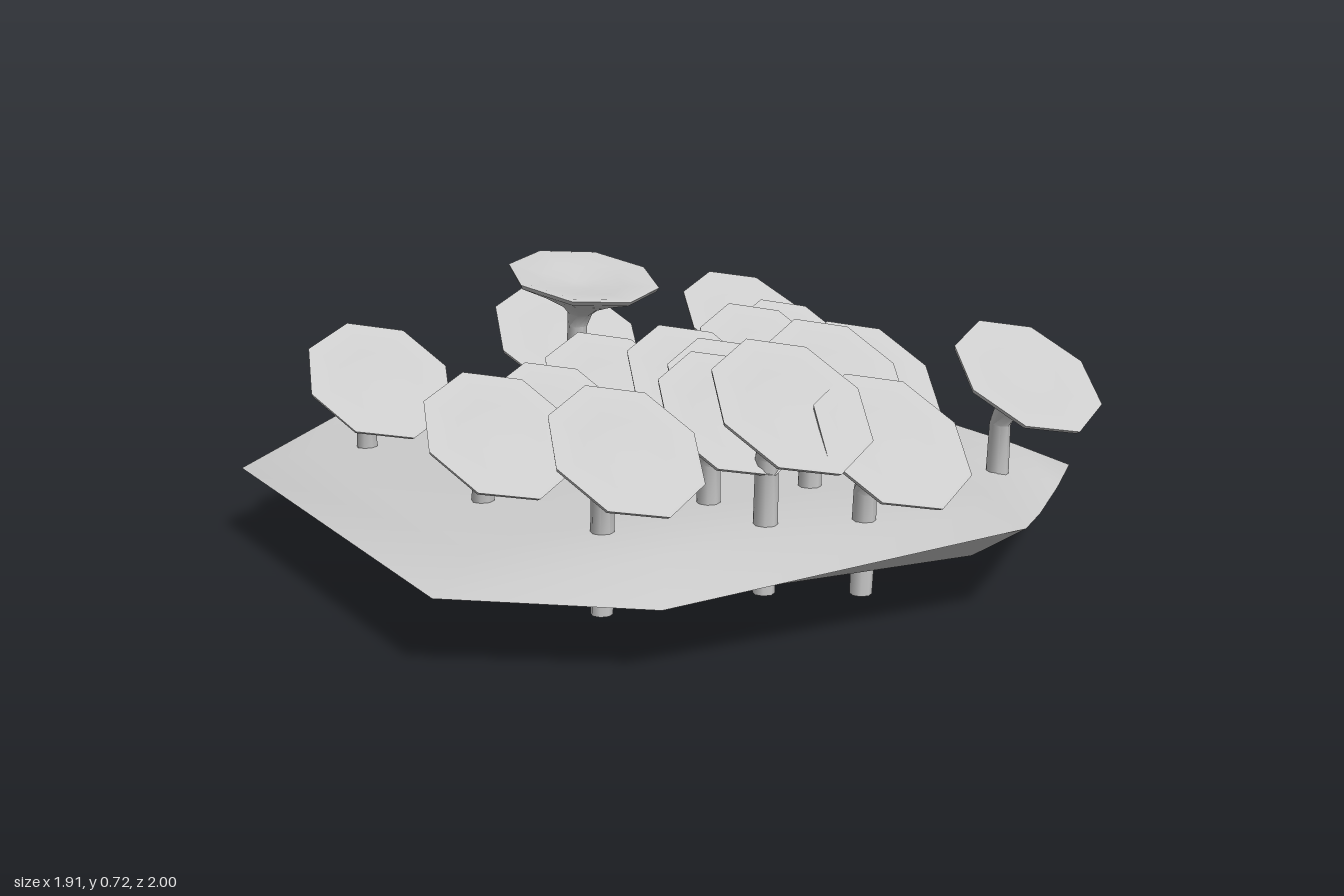
import * as THREE from 'three';
import { toCreasedNormals } from 'three/addons/utils/BufferGeometryUtils.js';

const material = new THREE.MeshStandardMaterial({ color: 0xcccccc, side: THREE.DoubleSide });

// Skin a list of equal-length rings, ordered from the underside up and over the top
function loft(rings, crease) {
  const n = rings[0].length;
  const pos = rings.flat().flatMap((p) => [p.x, p.y, p.z]);
  const index = [];
  for (let i = 0; i < rings.length - 1; i++) {
    for (let j = 0; j < n; j++) {
      const k = (j + 1) % n;
      const a = i * n + j, b = i * n + k, c = a + n, d = b + n;
      index.push(a, b, d, a, d, c);
    }
  }
  const geo = new THREE.BufferGeometry();
  geo.setAttribute('position', new THREE.Float32BufferAttribute(pos, 3));
  geo.setIndex(index);
  geo.computeVertexNormals();
  return toCreasedNormals(geo, crease);
}

// Slab: irregular rim [x, y, z], bevelled towards a flat top and underside
function createSlab() {
  const rim = [
    [-0.33, 0.18, -1.0], [-0.83, 0.21, -0.6], [-0.96, 0.25, 0.51], [-0.73, 0.19, 0.93],
    [0.47, 0.175, 1.0], [0.78, 0.16, 0.62], [0.95, 0.225, -0.28], [0.82, 0.2, -0.46],
    [0.6, 0.17, -0.75], [0.46, 0.17, -0.94],
  ];
  const ring = (scale, y) => rim.map(([x, ry, z]) =>
    new THREE.Vector3(x * scale, y ?? ry, z * scale));
  const rings = [ring(0, 0.105), ring(0.5, 0.11), ring(0.86, 0.133), ring(1),
    ring(0.85, 0.235), ring(0.5, 0.242), ring(0, 0.243)];
  const mesh = new THREE.Mesh(loft(rings, 0.9), material);
  mesh.name = 'slab';
  return mesh;
}

// Funnel cap on a bent stem; (x, y, z) is the middle of the cap rim
function createFungus({ x, y, z, r = 0.2, tilt = 40, foot = 0.06, lean = 0.1 }) {
  const t = THREE.MathUtils.degToRad(tilt);
  const center = new THREE.Vector3(x, y, z);
  const ring = (middle, radius, angle) => Array.from({ length: 8 }, (_, j) => {
    const a = (j / 8) * Math.PI * 2 + 0.08;
    return new THREE.Vector3(Math.cos(a) * radius, 0, -Math.sin(a) * radius)
      .applyAxisAngle(new THREE.Vector3(0, 0, 1), -angle).add(middle);
  });
  const onAxis = (d, radius) =>
    ring(new THREE.Vector3(Math.sin(t) * d, Math.cos(t) * d, 0).add(center), radius, t);
  const base = new THREE.Vector3(x - lean, foot, z);
  const bend = new THREE.Vector3(x - lean + 0.008, y - 0.14, z);
  const rings = [
    ring(base, 0, 0), ring(base, 0.026, 0),
    ring(base.clone().lerp(bend, 0.5), 0.029, 0), ring(bend, 0.027, t * 0.25),
    onAxis(-0.105, 0.034), onAxis(-0.08, 0.06), onAxis(-0.05, 0.115),
    onAxis(-0.012, r * 0.97), onAxis(0, r), onAxis(0.002, r * 0.93),
    onAxis(-0.012, r * 0.55), onAxis(-0.025, 0.03), onAxis(-0.027, 0),
  ];
  const mesh = new THREE.Mesh(loft(rings, 0.8), material);
  mesh.name = 'funnelFungus';
  return mesh;
}

export function createModel() {
  const group = new THREE.Group();
  group.name = 'fungusColony';
  group.add(createSlab());

  const fungi = [
    // back row
    { x: -0.47, y: 0.48, z: -0.545, tilt: 35, foot: 0.13 },
    { x: -0.25, y: 0.42, z: -0.555, r: 0.19, foot: 0.005 },
    { x: -0.08, y: 0.45, z: -0.32, foot: 0.08 },
    { x: 0.37, y: 0.47, z: -0.3, foot: 0.06 },
    { x: 0.66, y: 0.5, z: -0.565, tilt: 35, foot: 0.09 },
    // right cluster
    { x: 0.515, y: 0.53, z: -0.07, r: 0.19, foot: 0.1 },
    { x: 0.8, y: 0.445, z: 0, r: 0.2, foot: 0.055 },
    { x: 0.49, y: 0.48, z: 0.22, r: 0.19, foot: 0.1 },
    { x: 0.7, y: 0.535, z: 0.21, r: 0.2, foot: 0.07 },
    { x: 0.545, y: 0.45, z: 0.55, r: 0.19, foot: 0.04, lean: 0.11 },
    // middle cluster
    { x: 0.175, y: 0.43, z: -0.03, r: 0.195, foot: 0.05 },
    { x: 0.03, y: 0.44, z: -0.01, r: 0.2, foot: 0.09 },
    { x: -0.07, y: 0.43, z: 0.18, r: 0.195, foot: 0.06 },
    { x: 0.05, y: 0.41, z: 0.42, r: 0.18, foot: 0.005 },
    { x: 0.155, y: 0.42, z: 0.645, r: 0.195, foot: 0.035 },
    // left side, including the tall upright one
    { x: -0.355, y: 0.675, z: 0.09, r: 0.205, tilt: 13, foot: 0.265, lean: 0.045 },
    { x: -0.42, y: 0.5, z: 0.1, r: 0.215, tilt: 37, foot: 0.08, lean: 0.08 },
    { x: -0.49, y: 0.435, z: 0.635, r: 0.2, foot: 0.065 },
  ];
  fungi.forEach((f) => group.add(createFungus(f)));
  return group;
}
